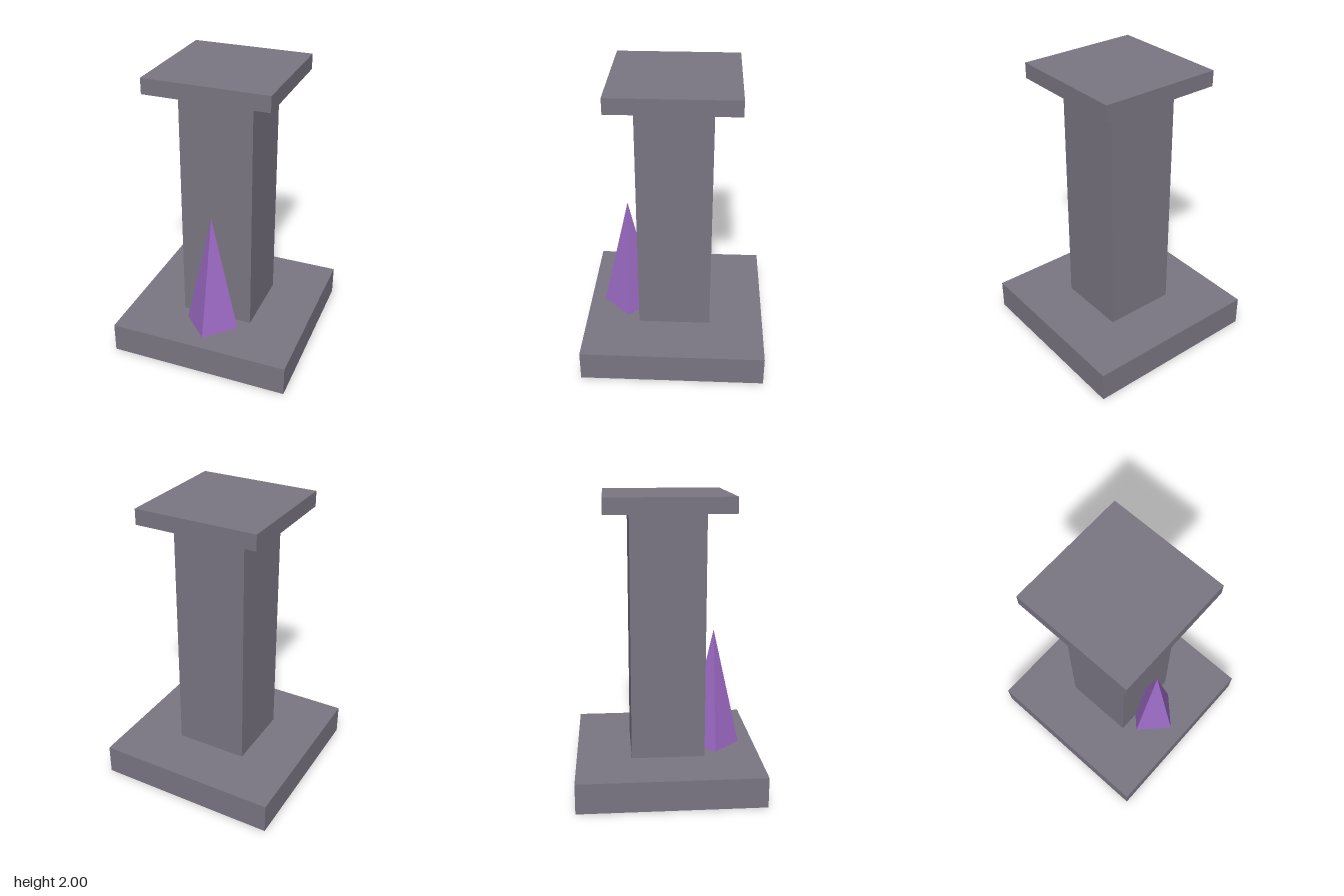
import * as THREE from 'three';

export function createModel() {
  const model = new THREE.Group();
  model.name = 'crystalPedestal';

  const stone = new THREE.MeshStandardMaterial({ color: 0x7a7582 });
  stone.name = 'grey stone';
  const crystal = new THREE.MeshStandardMaterial({ color: 0x9c6ac4 });
  crystal.name = 'purple crystal';

  // Square stone block standing on height y
  const addBlock = (name, width, height, y) => {
    const mesh = new THREE.Mesh(new THREE.BoxGeometry(width, height, width), stone);
    mesh.name = name;
    mesh.position.y = y + height / 2;
    model.add(mesh);
  };

  addBlock('base', 1.263, 0.21, 0);
  addBlock('column', 0.505, 1.685, 0.21);
  addBlock('cap', 0.842, 0.105, 1.895);

  // Four-sided crystal spike, one edge forward, sunk into the column front
  const geometry = new THREE.ConeGeometry(0.19, 0.842, 4).toNonIndexed();
  geometry.computeVertexNormals();
  const spike = new THREE.Mesh(geometry, crystal);
  spike.name = 'crystalSpike';
  spike.position.set(0, 0.21 + 0.421, 0.338);
  model.add(spike);

  return model;
}
